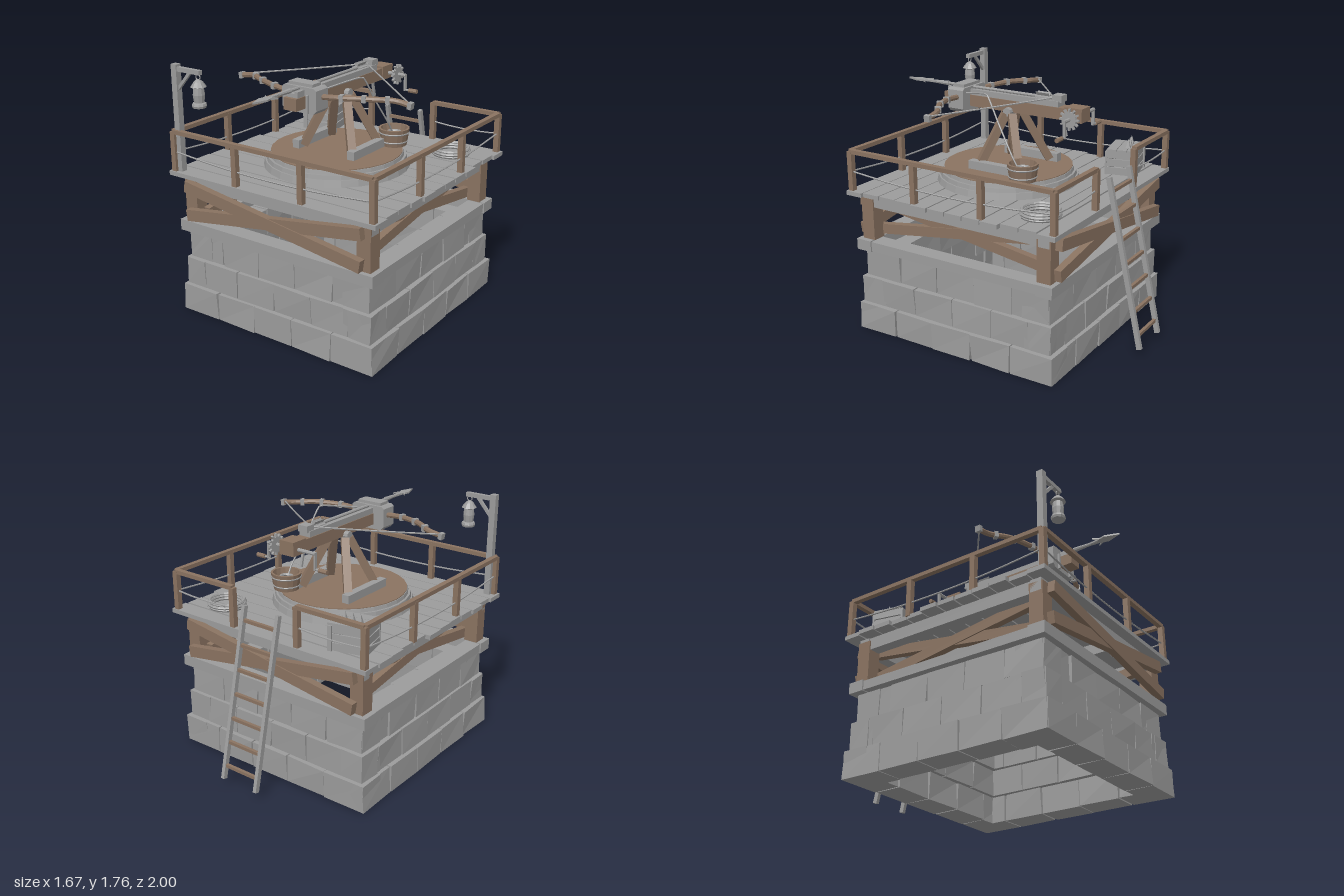
import * as THREE from 'three';

const V = (x, y, z) => new THREE.Vector3(x, y, z);
const mat = (name, color) => {
  const m = new THREE.MeshStandardMaterial({ color, flatShading: true, side: THREE.DoubleSide });
  m.name = name;
  return m;
};

export function createModel() {
  const root = new THREE.Group();
  root.name = 'ballistaTower';
  const grey = mat('weatheredGrey', 0x9c9c9c);
  const wood = mat('brownWood', 0x8a7361);
  let seed = 7;
  const rnd = () => (seed = (seed * 16807) % 2147483647) / 2147483647 - 0.5;

  const group = (name, parent = root, x = 0, y = 0, z = 0) => {
    const g = new THREE.Group();
    g.name = name;
    g.position.set(x, y, z);
    parent.add(g);
    return g;
  };
  const add = (p, name, geo, m, x = 0, y = 0, z = 0) => {
    const mesh = new THREE.Mesh(geo, m);
    mesh.name = name;
    mesh.position.set(x, y, z);
    p.add(mesh);
    return mesh;
  };
  const box = (p, name, m, w, h, d, x, y, z) => add(p, name, new THREE.BoxGeometry(w, h, d), m, x, y, z);
  const cyl = (p, name, m, r1, r2, h, n, x, y, z) => add(p, name, new THREE.CylinderGeometry(r1, r2, h, n), m, x, y, z);
  // Bar of rectangular section between two points
  const beam = (p, name, m, a, b, w, h = w) => {
    const mesh = new THREE.Mesh(new THREE.BoxGeometry(w, h, a.distanceTo(b)), m);
    mesh.name = name;
    mesh.position.copy(a).lerp(b, 0.5);
    mesh.lookAt(b);
    p.add(mesh);
  };
  const tube = (p, name, m, pts, r, seg = 12, n = 6, tension = 0.5) =>
    add(p, name, new THREE.TubeGeometry(new THREE.CatmullRomCurve3(pts, false, 'catmullrom', tension), seg, r, n), m);
  const ring = (p, name, m, R, r, x, y, z, n = 24) => {
    const t = add(p, name, new THREE.TorusGeometry(R, r, 6, n), m, x, y, z);
    t.rotation.x = Math.PI / 2;
    return t;
  };

  // Hollow stone base: three stepped courses of uneven blocks on four sides
  const tower = group('tower', root, 0, 0, 0.1);
  const joints = [[-1, -0.6, -0.2, 0.2, 0.6, 1], [-1, -0.78, -0.41, 0, 0.4, 0.78, 1], [-1, -0.6, -0.18, 0.22, 0.62, 1]];
  joints.forEach((list, row) => {
    const half = 0.785 - row * 0.022;
    for (let side = 0; side < 4; side++) {
      const wall = group('stoneWall', tower);
      wall.rotation.y = side * Math.PI / 2;
      for (let i = 0; i < list.length - 1; i++) {
        const w = (list[i + 1] - list[i]) * half;
        const geo = new THREE.BoxGeometry(w - 0.008, 0.194, 0.2);
        const pos = geo.attributes.position, moved = {};
        for (let k = 0; k < pos.count; k++) {
          const key = [pos.getX(k) > 0, pos.getY(k) > 0, pos.getZ(k) > 0].join();
          moved[key] ??= [rnd() * 0.012, 0, rnd() * 0.016];
          pos.setXYZ(k, pos.getX(k) + moved[key][0], pos.getY(k), pos.getZ(k) + moved[key][2]);
        }
        add(wall, 'stoneBlock', geo, grey, (list[i] + list[i + 1]) / 2 * half, 0.099 + row * 0.2, half - 0.1);
      }
    }
  });

  // Sill beams, corner posts, cross braces and deck joists
  for (const s of [-1, 1]) {
    box(tower, 'sillBeam', grey, 1.57, 0.078, 0.12, 0, 0.64, s * 0.72);
    box(tower, 'sideSill', grey, 0.12, 0.065, 1.32, s * 0.715, 0.64, 0);
    box(tower, 'endJoist', grey, 1.5, 0.085, 0.08, 0, 0.958, s * 0.7);
    box(tower, 'sideJoist', grey, 0.08, 0.085, 1.32, s * 0.7, 0.958, 0);
    box(tower, 'innerJoist', grey, 0.07, 0.08, 1.32, s * 0.25, 0.96, 0);
    for (const t of [-1, 1]) {
      box(tower, 'cornerPost', wood, 0.1, 0.3, 0.1, s * 0.7, 0.83, t * 0.7);
      beam(tower, 'frontBackBrace', wood, V(-0.705, 0.835 + t * 0.105, s * 0.778 + t * 0.004), V(0.705, 0.835 - t * 0.105, s * 0.778 + t * 0.004), 0.05, 0.08);
      beam(tower, 'sideBrace', wood, V(s * 0.63 + t * 0.004, 0.83 + t * 0.1, -0.68), V(s * 0.63 + t * 0.004, 0.83 - t * 0.1, 0.68), 0.05, 0.07);
    }
  }
  const deck = group('deck');
  for (let i = 0; i < 12; i++)
    box(deck, 'deckPlank', grey, 1.64 + rnd() * 0.04, 0.03, 0.128, rnd() * 0.03, 1.019 + rnd() * 0.004, -0.657 + i * 0.137);

  // Railing with sagging ropes and an opening above the ladder
  const railing = group('railing', root, 0, 0, 0.095);
  const rail = (a, b, posts) => {
    beam(railing, 'topRail', wood, a.clone().setY(1.305), b.clone().setY(1.305), 0.036, 0.028);
    for (let i = 0; i <= posts; i++) {
      const q = a.clone().lerp(b, i / posts);
      box(railing, 'railPost', wood, 0.038, 0.28, 0.038, q.x, 1.165, q.z);
    }
    const rope = [0, 0.25, 0.5, 0.75, 1].map(t => a.clone().lerp(b, t).setY(1.165 - 0.04 * posts / 3 * 4 * t * (1 - t)));
    tube(railing, 'railRope', grey, rope, 0.006, 16, 5);
  };
  const R = 0.79;
  rail(V(-R, 0, R), V(R, 0, R), 3);
  for (const s of [-1, 1]) {
    rail(V(s * R, 0, -R), V(s * R, 0, R), 3);
    rail(V(s * R, 0, -R), V(s * 0.27, 0, -R), 1);
  }

  // Ladder
  const ladder = group('ladder');
  const top = V(0, 1.22, -0.72), foot = V(0, 0.06, -0.985);
  for (const s of [-1, 1]) beam(ladder, 'ladderRail', grey, top.clone().setX(s * 0.142), foot.clone().setX(s * 0.142), 0.026, 0.034);
  for (let i = 0; i < 7; i++) {
    const q = foot.clone().lerp(top, 0.08 + i * 0.14);
    box(ladder, 'ladderRung', wood, 0.27, 0.022, 0.022, 0, q.y, q.z);
  }

  // Lamp post with hanging lantern
  const lamp = group('lampPost', root, -0.757, 0, 0.862);
  box(lamp, 'post', grey, 0.045, 0.73, 0.045, 0, 1.395, 0);
  box(lamp, 'arm', grey, 0.23, 0.03, 0.03, 0.1, 1.73, 0);
  beam(lamp, 'armBrace', grey, V(0.01, 1.59, 0), V(0.13, 1.725, 0), 0.02);
  add(lamp, 'lanternRing', new THREE.TorusGeometry(0.018, 0.004, 5, 12), grey, 0.192, 1.7, 0);
  add(lamp, 'lantern', new THREE.LatheGeometry([[0, 1.5], [0.045, 1.5], [0.05, 1.515], [0.045, 1.53], [0.034, 1.535], [0.04, 1.585], [0.034, 1.63],
    [0.053, 1.637], [0.03, 1.67], [0.012, 1.685], [0, 1.687]].map(p => new THREE.Vector2(...p)), 10), grey, 0.192, 0, 0);

  // Turntable
  const table = group('turntable', root, 0, 0, 0.14);
  cyl(table, 'lowerRing', grey, 0.49, 0.5, 0.045, 28, 0, 1.057, 0);
  cyl(table, 'middleRing', grey, 0.475, 0.48, 0.03, 28, 0, 1.093, 0);
  cyl(table, 'upperRing', grey, 0.455, 0.46, 0.026, 28, 0, 1.12, 0);
  cyl(table, 'woodenTop', wood, 0.45, 0.45, 0.006, 28, 0, 1.135, 0);

  // Stand: foot beams, four splayed legs and pivot
  const stand = group('stand');
  for (const s of [-1, 1]) {
    box(stand, 'footBeam', grey, 0.055, 0.06, 0.44, s * 0.225, 1.166, 0.085);
    for (const t of [-1, 1]) beam(stand, 'leg', wood, V(s * 0.2, 1.155, 0.09 + t * 0.16), V(s * 0.065, 1.51, 0.095 + t * 0.025), 0.055);
  }
  const pivot = cyl(stand, 'pivotAxle', grey, 0.03, 0.03, 0.17, 10, 0, 1.525, 0.1);
  pivot.rotation.z = Math.PI / 2;

  // Stock, slider and bow housing
  const weapon = group('ballista');
  box(weapon, 'stock', wood, 0.1, 0.08, 1.0, 0, 1.56, 0.145);
  for (const s of [-1, 1]) box(weapon, 'guideRail', grey, 0.024, 0.04, 0.9, s * 0.032, 1.62, 0.17);
  box(weapon, 'slider', grey, 0.04, 0.03, 0.9, 0, 1.61, 0.17);
  box(weapon, 'latchBlock', grey, 0.075, 0.045, 0.07, 0, 1.655, -0.265);
  beam(weapon, 'trigger', grey, V(0, 1.52, -0.29), V(0, 1.4, -0.32), 0.016);
  const face = new THREE.Shape([[-0.11, -0.085], [0.11, -0.085], [0.135, -0.06], [0.135, 0.07], [0.115, 0.085], [-0.115, 0.085], [-0.135, 0.07], [-0.135, -0.06]].map(p => new THREE.Vector2(...p)));
  add(weapon, 'bowHousing', new THREE.ExtrudeGeometry(face, { depth: 0.125, bevelEnabled: false }), grey, 0, 1.572, 0.425);
  box(weapon, 'housingCap', grey, 0.19, 0.022, 0.09, 0, 1.666, 0.487);
  for (const s of [-1, 1]) box(weapon, 'muzzleFrameSide', grey, 0.016, 0.12, 0.02, s * 0.07, 1.55, 0.555);

  // Bow arms with bands, and drawn string
  for (const s of [-1, 1]) {
    const pts = [[0.1, 1.59, 0.48], [0.26, 1.602, 0.465], [0.44, 1.608, 0.4], [0.57, 1.6, 0.32], [0.69, 1.583, 0.31]].map(p => V(s * p[0], p[1], p[2]));
    const curve = new THREE.CatmullRomCurve3(pts);
    tube(weapon, 'bowArm', wood, pts, 0.019, 20, 8);
    [0.27, 0.5, 0.73, 0.98].forEach(t => {
      const q = curve.getPointAt(t), d = curve.getTangentAt(t).multiplyScalar(0.014);
      beam(weapon, 'armBand', grey, q.clone().sub(d), q.clone().add(d), 0.042);
    });
    tube(weapon, 'bowString', grey, [V(s * 0.67, 1.595, 0.31), V(s * 0.34, 1.62, 0.045), V(0, 1.65, -0.22)], 0.006, 4, 5);
  }

  // Bolt with barbed head and fins
  const bolt = group('bolt', weapon, 0, 1.648, 0);
  cyl(bolt, 'shaft', grey, 0.011, 0.011, 1.06, 8, 0, 0, 0.3).rotation.x = Math.PI / 2;
  const head = new THREE.Shape([[0, 1], [0.035, 0.9], [0.025, 0.86], [0.05, 0.815], [0.018, 0.845], [0.008, 0.72], [-0.008, 0.72], [-0.018, 0.845], [-0.05, 0.815], [-0.025, 0.86], [-0.035, 0.9]].map(p => new THREE.Vector2(...p)));
  add(bolt, 'boltHead', new THREE.ExtrudeGeometry(head, { depth: 0.012, bevelEnabled: false }), grey, 0, 0.006, 0).rotation.x = Math.PI / 2;
  cyl(bolt, 'headSocket', grey, 0.008, 0.017, 0.2, 8, 0, 0, 0.74).rotation.x = Math.PI / 2;
  for (let i = 0; i < 3; i++) box(bolt, 'fin', grey, 0.07, 0.004, 0.1, 0, 0, -0.14).rotation.z = i * Math.PI / 3;

  // Winch: block, axle, toothed wheel and cranks
  const winch = group('winch', weapon, 0, 1.555, -0.405);
  box(winch, 'winchBlock', wood, 0.115, 0.095, 0.13, 0, 0.01, 0.005);
  cyl(winch, 'axle', grey, 0.013, 0.013, 0.4, 8, 0, 0, -0.01).rotation.z = Math.PI / 2;
  const gear = group('gear', winch, 0.13, 0, -0.01);
  cyl(gear, 'gearDisc', grey, 0.053, 0.053, 0.018, 16, 0, 0, 0).rotation.z = Math.PI / 2;
  for (let i = 0; i < 12; i++) {
    const a = i * Math.PI / 6;
    box(gear, 'tooth', grey, 0.018, 0.013, 0.028, 0, Math.sin(a) * 0.058, Math.cos(a) * 0.058).rotation.x = -a;
  }
  for (const s of [-1, 1]) {
    box(winch, 'crankArm', grey, 0.014, 0.12, 0.02, s * 0.195, -0.05, -0.01);
    cyl(winch, 'crankPin', grey, 0.008, 0.008, 0.06, 6, s * 0.215, -0.103, -0.01).rotation.z = Math.PI / 2;
    cyl(winch, 'crankHandle', wood, 0.016, 0.016, 0.065, 8, s * 0.26, -0.103, -0.01).rotation.z = Math.PI / 2;
  }

  // Bucket with coiled rope leading to the housing
  const bucket = group('bucket', root, 0.275, 1.138, -0.15);
  add(bucket, 'bucketShell', new THREE.LatheGeometry([[0, 0], [0.088, 0], [0.108, 0.12], [0.092, 0.12], [0.08, 0.03], [0, 0.03]].map(p => new THREE.Vector2(...p)), 16), wood);
  ring(bucket, 'bucketBand', grey, 0.093, 0.006, 0, 0.03, 0, 16);
  ring(bucket, 'bucketBand', grey, 0.103, 0.006, 0, 0.09, 0, 16);
  for (let i = 0; i < 3; i++) ring(bucket, 'bucketRope', grey, 0.07 - i * 0.014, 0.011, 0, 0.06 + i * 0.012, 0, 16);
  tube(root, 'looseRope', grey, [V(0.07, 1.61, 0.48), V(0.15, 1.645, 0.3), V(0.225, 1.665, 0.16), V(0.25, 1.5, 0.06), V(0.285, 1.3, -0.07), V(0.285, 1.2, -0.13)], 0.006, 30, 5, 0.2);

  // Coil of rope on the deck
  const coil = group('ropeCoil', root, 0.555, 1.035, -0.46);
  [[0.125, 0.012], [0.108, 0.012], [0.127, 0.028], [0.112, 0.03], [0.12, 0.045]].forEach(([r, y]) => ring(coil, 'coilLoop', grey, r, 0.012, 0, y, 0, 20));

  // Slatted crate of bolts
  const crate = group('crate', root, -0.56, 1.035, -0.49);
  crate.rotation.y = 0.23;
  for (let i = 0; i < 3; i++) {
    const y = 0.032 + i * 0.06;
    for (const s of [-1, 1]) {
      box(crate, 'longSlat', grey, 0.26, 0.052, 0.012, 0, y, s * 0.1);
      box(crate, 'endSlat', grey, 0.012, 0.052, 0.2, s * 0.125, y, 0);
    }
    box(crate, 'lidPlank', grey, 0.27, 0.014, 0.068, 0, 0.182, (i - 1) * 0.072);
    const spike = add(crate, 'boltTip', new THREE.ConeGeometry(0.026, 0.075, 4), grey, -0.055 + i * 0.052, 0.218, -0.03);
    spike.rotation.y = Math.PI / 4;
  }
  for (const s of [-1, 1]) for (const t of [-1, 1]) box(crate, 'cornerBatten', grey, 0.03, 0.17, 0.014, s * 0.117, 0.088, t * 0.11);

  return root;
}
